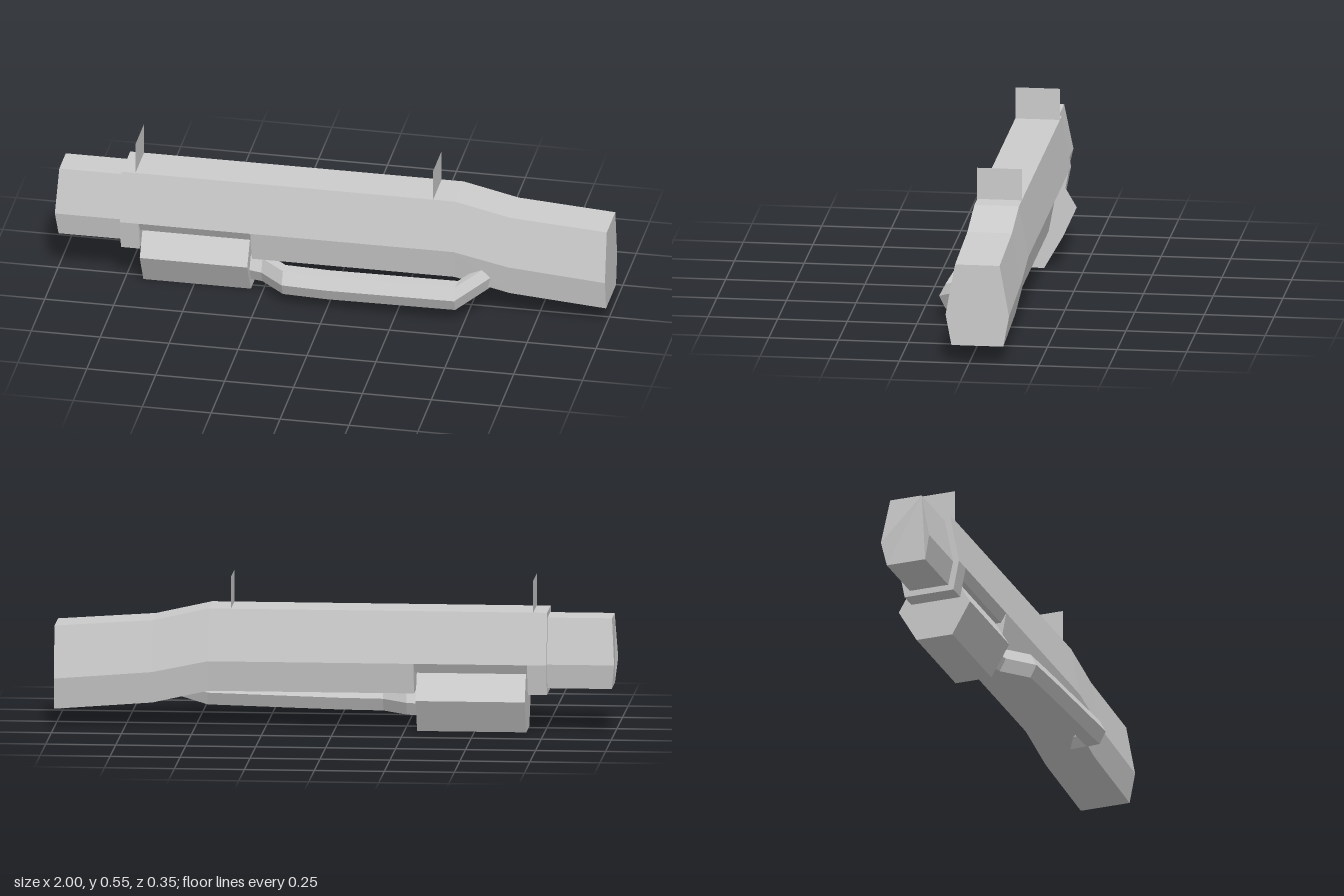
import * as THREE from 'three';

const MID = -0.03; // z of the long axis

function material(side = THREE.FrontSide) {
  return new THREE.MeshStandardMaterial({ color: 0xcccccc, flatShading: true, side });
}

// Six-sided section: heights of top, widest and bottom edges, with half widths
function hexSection(x, top, wide, bottom, halfTop, halfWide, halfBottom, z = MID) {
  return [
    [x, top, z + halfTop], [x, wide, z + halfWide], [x, bottom, z + halfBottom],
    [x, bottom, z - halfBottom], [x, wide, z - halfWide], [x, top, z - halfTop],
  ];
}

// Skin a run of sections (ordered by rising x) and cap both ends
function loft(name, sections) {
  const pos = [];
  const tri = (a, b, c) => pos.push(...a, ...b, ...c);
  const n = sections[0].length;
  for (let s = 0; s < sections.length - 1; s++) {
    const a = sections[s], b = sections[s + 1];
    for (let i = 0; i < n; i++) {
      const j = (i + 1) % n;
      tri(a[i], a[j], b[j]);
      tri(a[i], b[j], b[i]);
    }
  }
  const first = sections[0], last = sections[sections.length - 1];
  for (let i = 1; i < n - 1; i++) {
    tri(first[0], first[i + 1], first[i]);
    tri(last[0], last[i], last[i + 1]);
  }
  const geometry = new THREE.BufferGeometry();
  geometry.setAttribute('position', new THREE.Float32BufferAttribute(pos, 3));
  geometry.computeVertexNormals();
  const mesh = new THREE.Mesh(geometry, material());
  mesh.name = name;
  return mesh;
}

export function createModel() {
  const group = new THREE.Group();
  group.name = 'launcher';

  // Main body: notched underneath for the pod, dropping toward the +x end
  const bodyRun = [
    [-0.76, 0.435, 0.25, 0.14], [-0.692, 0.435, 0.25, 0.14],
    [-0.69, 0.435, 0.25, 0.215], [-0.287, 0.435, 0.25, 0.215],
    [-0.285, 0.435, 0.25, 0.14], [0.45, 0.435, 0.25, 0.14],
    [0.65, 0.39, 0.208, 0.095], [1, 0.366, 0.18, 0.068],
  ];
  group.add(loft('body', bodyRun.map(([x, t, w, b]) => hexSection(x, t, w, b, 0.08, 0.114, 0.093))));

  // Narrower end tube with a slightly pointed end outline
  const tubeStart = hexSection(-0.99, 0.415, 0.25, 0.162, 0.06, 0.092, 0.073);
  tubeStart[1][0] = tubeStart[4][0] = -1;
  group.add(loft('endTube', [tubeStart, hexSection(-0.75, 0.415, 0.25, 0.162, 0.06, 0.092, 0.073)]));

  // Hexagonal pod under the notch
  group.add(loft('pod', [-0.685, -0.295].map(
    (x) => hexSection(x, 0.238, 0.121, 0.002, 0.068, 0.136, 0.068, -0.038))));

  // Side handle running from the pod back into the body
  const handlePath = [
    [-0.31, 0.09, 0.005], [-0.25, 0.09, 0.02], [-0.16, 0.09, 0.103],
    [0, 0.09, 0.113], [0.47, 0.1, 0.126], [0.58, 0.152, 0.025],
  ];
  group.add(loft('handle', handlePath.map(
    ([x, y, z]) => hexSection(x, y + 0.045, y, y - 0.046, 0.025, 0.048, 0.025, z))));

  // Two thin upright sight plates
  for (const x of [-0.71, 0.37]) {
    const sight = new THREE.Mesh(new THREE.PlaneGeometry(0.16, 0.115), material(THREE.DoubleSide));
    sight.name = 'sightPlate';
    sight.rotation.y = Math.PI / 2;
    sight.position.set(x, 0.4925, MID);
    group.add(sight);
  }
  return group;
}
